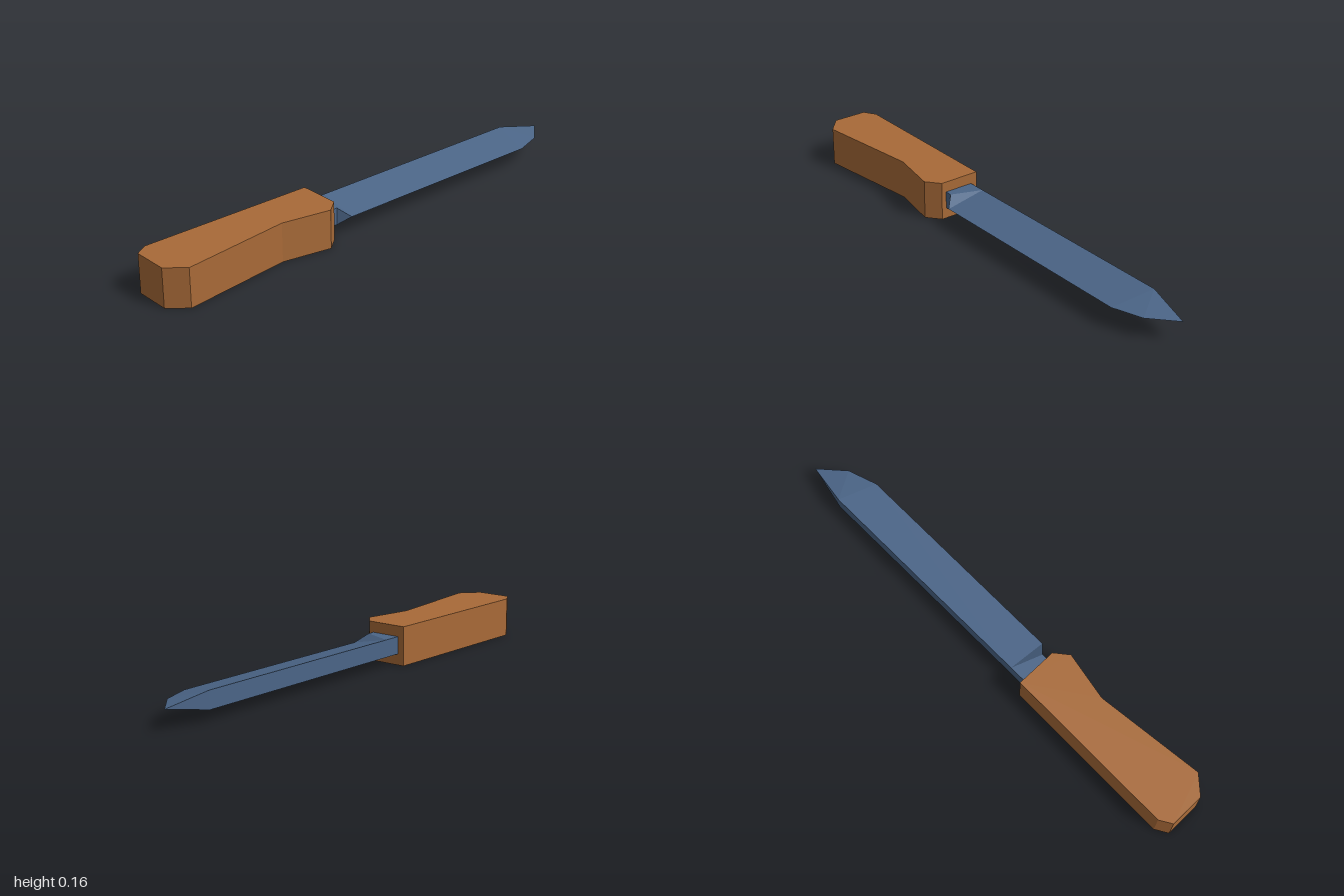
import * as THREE from 'three';

const wood = new THREE.MeshStandardMaterial({ color: 0xa86a38, flatShading: true });
wood.name = 'brown wood';
const steel = new THREE.MeshStandardMaterial({ color: 0x4b6587, flatShading: true });
steel.name = 'blue steel';

const MID = 0.08; // height of the blade's centre plane

// Handle: a flat outline [x, z] extruded upwards
function makeHandle() {
  const outline = [
    [-0.11, 0.23], [-0.117, 0.95], [-0.087, 1], [0.055, 1],
    [0.117, 0.93], [0.067, 0.485], [0.105, 0.285], [0.06, 0.23],
  ];
  const shape = new THREE.Shape(outline.map(([x, z]) => new THREE.Vector2(x, -z)));
  const geometry = new THREE.ExtrudeGeometry(shape, { depth: 0.158, bevelEnabled: false });
  geometry.rotateX(-Math.PI / 2);
  const mesh = new THREE.Mesh(geometry, wood);
  mesh.name = 'handle';
  return mesh;
}

// Blade: wedge sections, each with a thick spine and a thin cutting edge
function makeBlade() {
  // spine x, z, half thickness; edge x, z, half thickness
  const sections = [
    [-0.083, 0.24, 0.035, 0.04, 0.24, 0.035], // tang inside the handle
    [-0.083, 0.20, 0.035, 0.04, 0.20, 0.035],
    [-0.083, 0.155, 0.035, 0.08, 0.16, 0],
    [-0.083, -0.82, 0.035, 0.08, -0.78, 0],
    [-0.05, -1, 0, 0.04, -0.9, 0],            // point
  ].map(([sx, sz, sh, ex, ez, eh]) => [
    new THREE.Vector3(sx, MID + sh, sz), new THREE.Vector3(ex, MID + eh, ez),
    new THREE.Vector3(ex, MID - eh, ez), new THREE.Vector3(sx, MID - sh, sz),
  ]);

  const points = [];
  const addTriangle = (a, b, c) => {
    if (new THREE.Triangle(a, b, c).getArea() > 1e-7) points.push(a, b, c);
  };
  for (let i = 0; i < sections.length - 1; i++) {
    for (let k = 0; k < 4; k++) {
      const n = (k + 1) % 4;
      const p = sections[i][k], q = sections[i][n];
      const r = sections[i + 1][n], s = sections[i + 1][k];
      // mirror the diagonal on the underside; the heel folds the other way
      if ((i === 1) !== (k === 2)) {
        addTriangle(p, q, s);
        addTriangle(q, r, s);
      } else {
        addTriangle(p, q, r);
        addTriangle(p, r, s);
      }
    }
  }
  const geometry = new THREE.BufferGeometry().setFromPoints(points);
  geometry.computeVertexNormals();
  const mesh = new THREE.Mesh(geometry, steel);
  mesh.name = 'blade';
  return mesh;
}

export function createModel() {
  const knife = new THREE.Group();
  knife.name = 'knife';
  knife.add(makeHandle(), makeBlade());
  return knife;
}
